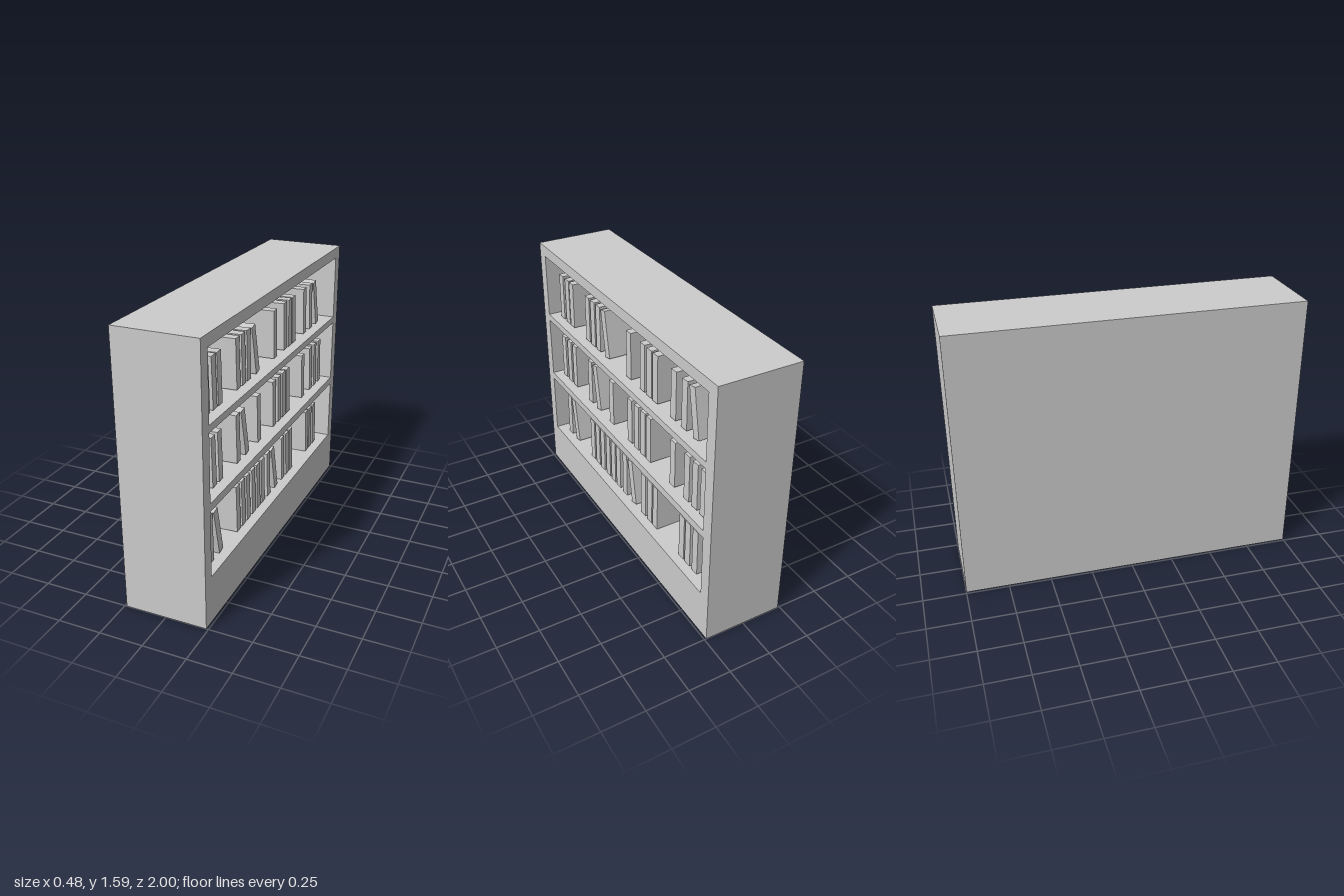
import * as THREE from 'three';

const WIDTH = 2, HEIGHT = 1.585, HALF_DEPTH = 0.238, BACK = 0.045;
const BOOK = { height: 0.282, thick: 0.05, depth: 0.3, front: 0.183 };

// Each shelf: floor and ceiling height, z of upright books, leaning books and vases
const SHELVES = [
  {
    floor: 0.277, top: 0.66,
    upright: [0.817, 0.472, 0.402, 0.333, 0.258, 0.188, 0.119, 0.033, -0.197, -0.272, -0.336, -0.63, -0.694, -0.769],
    leaning: [0.729, -0.058], vases: [],
  },
  {
    floor: 0.705, top: 1.09,
    upright: [0.851, 0.771, 0.696, 0.472, 0.188, -0.042, -0.122, -0.197, -0.261, -0.523, -0.668, -0.748, -0.828],
    leaning: [0.381], vases: [0.585, -0.41],
  },
  {
    floor: 1.13, top: 1.52,
    upright: [0.835, 0.755, 0.693, 0.472, 0.402, 0.333, -0.042, -0.197, -0.272, -0.336, -0.523, -0.63],
    leaning: [0.242, -0.722], vases: [0.095],
  },
];

export function createModel() {
  const model = new THREE.Group();
  model.name = 'bookcase';
  const material = new THREE.MeshStandardMaterial({ color: 0xcccccc });

  const add = (parent, geometry, name, x, y, z) => {
    const mesh = new THREE.Mesh(geometry, material);
    mesh.name = name;
    mesh.position.set(x, y, z);
    parent.add(mesh);
    return mesh;
  };

  // Case with three openings towards +x
  const outline = rectangle(THREE.Shape, -WIDTH / 2, 0, WIDTH / 2, HEIGHT);
  for (const { floor, top } of SHELVES) {
    outline.holes.push(rectangle(THREE.Path, -0.927, floor, 0.927, top));
  }
  const frame = new THREE.ExtrudeGeometry(outline, { depth: 2 * HALF_DEPTH - BACK, bevelEnabled: false });
  frame.rotateY(Math.PI / 2);
  add(model, frame, 'caseFrame', -HALF_DEPTH + BACK, 0, 0);
  add(model, new THREE.BoxGeometry(BACK, HEIGHT, WIDTH), 'backPanel', -HALF_DEPTH + BACK / 2, HEIGHT / 2, 0);

  // Books stand slightly askew; some lean strongly
  const bookGeometry = new THREE.BoxGeometry(BOOK.depth, BOOK.height, BOOK.thick);
  const vaseGeometry = new THREE.LatheGeometry(vaseProfile(), 32);

  SHELVES.forEach((shelf, i) => {
    const group = new THREE.Group();
    group.name = `shelfContents${i + 1}`;
    model.add(group);
    const addBook = (z, lean, name) => {
      const book = add(group, bookGeometry, name,
        BOOK.front - BOOK.depth / 2, shelf.floor + BOOK.height / 2 + 0.004, z);
      book.rotation.set(lean, 0.025, 0.015);
    };
    shelf.upright.forEach((z) => addBook(z, 0.02, 'book'));
    shelf.leaning.forEach((z) => addBook(z, 0.2, 'leaningBook'));
    shelf.vases.forEach((z) => add(group, vaseGeometry, 'vase', 0, shelf.floor, z));
  });

  return model;
}

function rectangle(Type, x0, y0, x1, y1) {
  const path = new Type();
  path.moveTo(x0, y0);
  path.lineTo(x1, y0);
  path.lineTo(x1, y1);
  path.lineTo(x0, y1);
  path.closePath();
  return path;
}

// Round belly with a flat base, then a straight neck
function vaseProfile() {
  const radius = 0.058, centre = 0.045, neck = 0.023, top = 0.178;
  const start = -Math.asin(centre / radius), end = Math.acos(neck / radius);
  const points = [new THREE.Vector2(0, 0)];
  for (let i = 0; i <= 16; i++) {
    const a = start + (end - start) * i / 16;
    points.push(new THREE.Vector2(radius * Math.cos(a), centre + radius * Math.sin(a)));
  }
  points.push(new THREE.Vector2(neck, top - 0.001), new THREE.Vector2(neck, top), new THREE.Vector2(0, top));
  return points;
}
